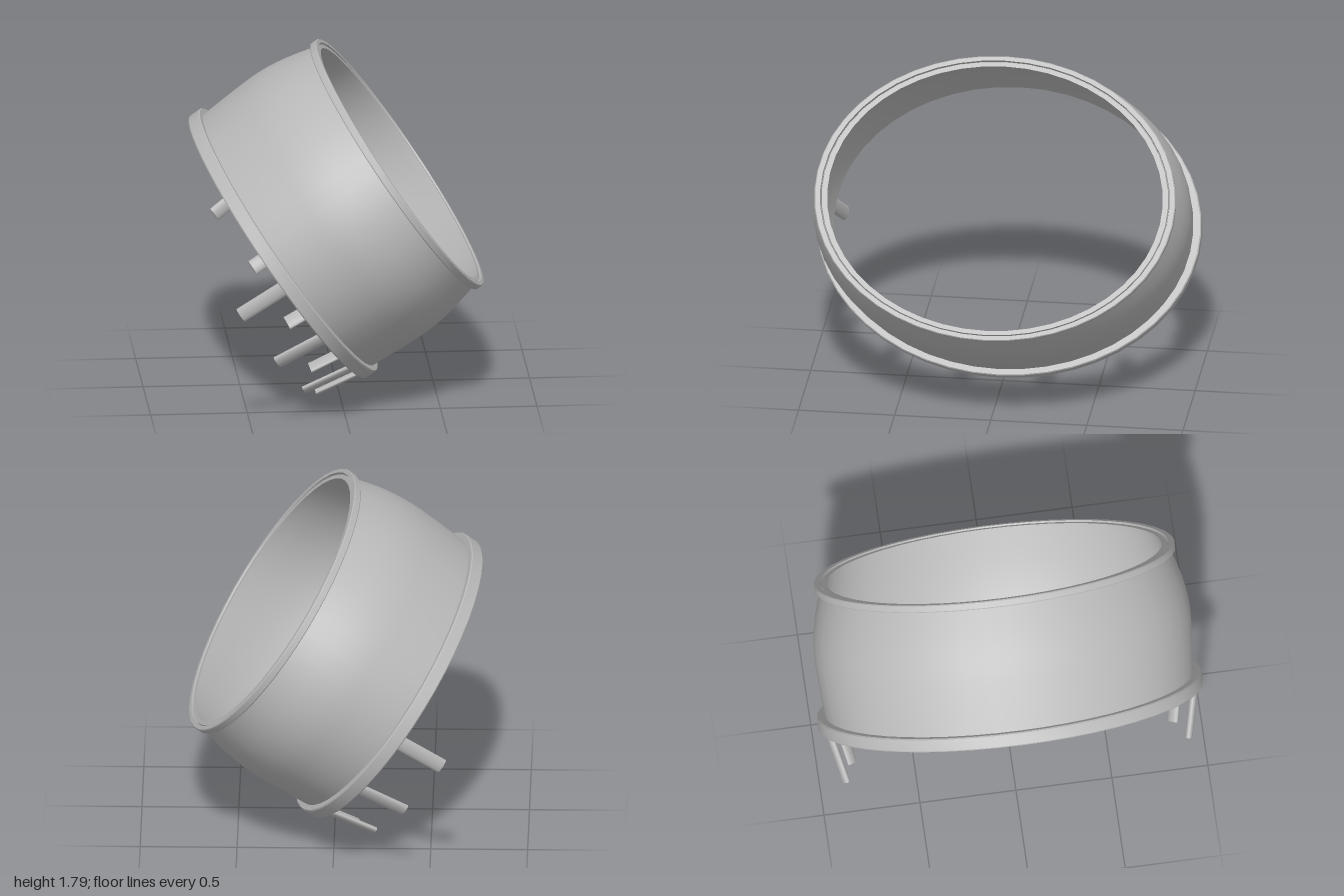
import * as THREE from 'three';
import { toCreasedNormals } from 'three/addons/utils/BufferGeometryUtils.js';

const SEGMENTS = 48;
const SQUASH = 0.797; // the band is an oval, narrower across local x

// Revolve a closed [radius, height] loop listed outer side upward, inner side downward
function ring(name, loop, material) {
  const points = [...loop, loop[0]].map(([r, y]) => new THREE.Vector2(r, y));
  const geometry = toCreasedNormals(new THREE.LatheGeometry(points, SEGMENTS, Math.PI / 2), 0.6);
  const mesh = new THREE.Mesh(geometry, material);
  mesh.name = name;
  return mesh;
}

// Smooth a few [radius, height] points
function smooth(points, count) {
  return new THREE.SplineCurve(points.map(([r, y]) => new THREE.Vector2(r, y)))
    .getPoints(count).map((p) => [p.x, p.y]);
}

export function createModel() {
  const model = new THREE.Group();
  model.name = 'ovalBand';
  const metal = new THREE.MeshStandardMaterial({ color: 0xb8b8b8 });
  metal.name = 'greyMetal';

  // Everything is built upright, then squashed and tilted
  const band = new THREE.Group();
  band.name = 'tiltedBand';
  model.add(band);

  // Bulging wall
  const outer = smooth([[0.952, 0.008], [0.963, 0.12], [0.975, 0.28], [0.979, 0.42], [0.958, 0.57], [0.9, 0.768]], 16);
  const inner = smooth([[0.872, 0.768], [0.92, 0.57], [0.94, 0.42], [0.938, 0.28], [0.928, 0.12], [0.916, 0.008]], 16);
  band.add(ring('wall', [...outer, ...inner], metal));

  // Rims, each with a narrow groove between it and the lip of the wall
  band.add(ring('lowerRim', [[0.966, 0], [0.994, 0], [1, 0.006], [1, 0.066], [0.994, 0.072], [0.95, 0.072], [0.95, 0.02], [0.96, 0.02]], metal));
  band.add(ring('upperRim', [[0.9, 0.735], [0.934, 0.735], [0.939, 0.74], [0.939, 0.77], [0.934, 0.775], [0.909, 0.775], [0.905, 0.755], [0.895, 0.755]], metal));

  // Flattened pegs around one side, leaning inward toward their tips
  const base = new THREE.Vector2(0.962, 0.03);
  const tip = new THREE.Vector2(0.897, -0.262);
  const length = base.distanceTo(tip);
  const pegGeometry = new THREE.CylinderGeometry(0.05, 0.05, length, 16);
  pegGeometry.scale(0.4, 1, 1);
  for (const side of [1, -1]) {
    for (let i = 0; i < 4; i++) {
      const holder = new THREE.Group();
      holder.name = 'pegHolder';
      holder.rotation.y = -side * THREE.MathUtils.degToRad(13.5 + 27.5 * i);
      const peg = new THREE.Mesh(pegGeometry, metal);
      peg.name = 'peg';
      peg.position.set((base.x + tip.x) / 2, (base.y + tip.y) / 2, 0);
      peg.rotation.z = -Math.atan2(base.x - tip.x, base.y - tip.y);
      holder.add(peg);
      band.add(holder);
    }
  }

  band.scale.x = SQUASH;
  band.rotation.z = -THREE.MathUtils.degToRad(55);
  band.position.set(-0.305, 0.74, 0);
  return model;
}
